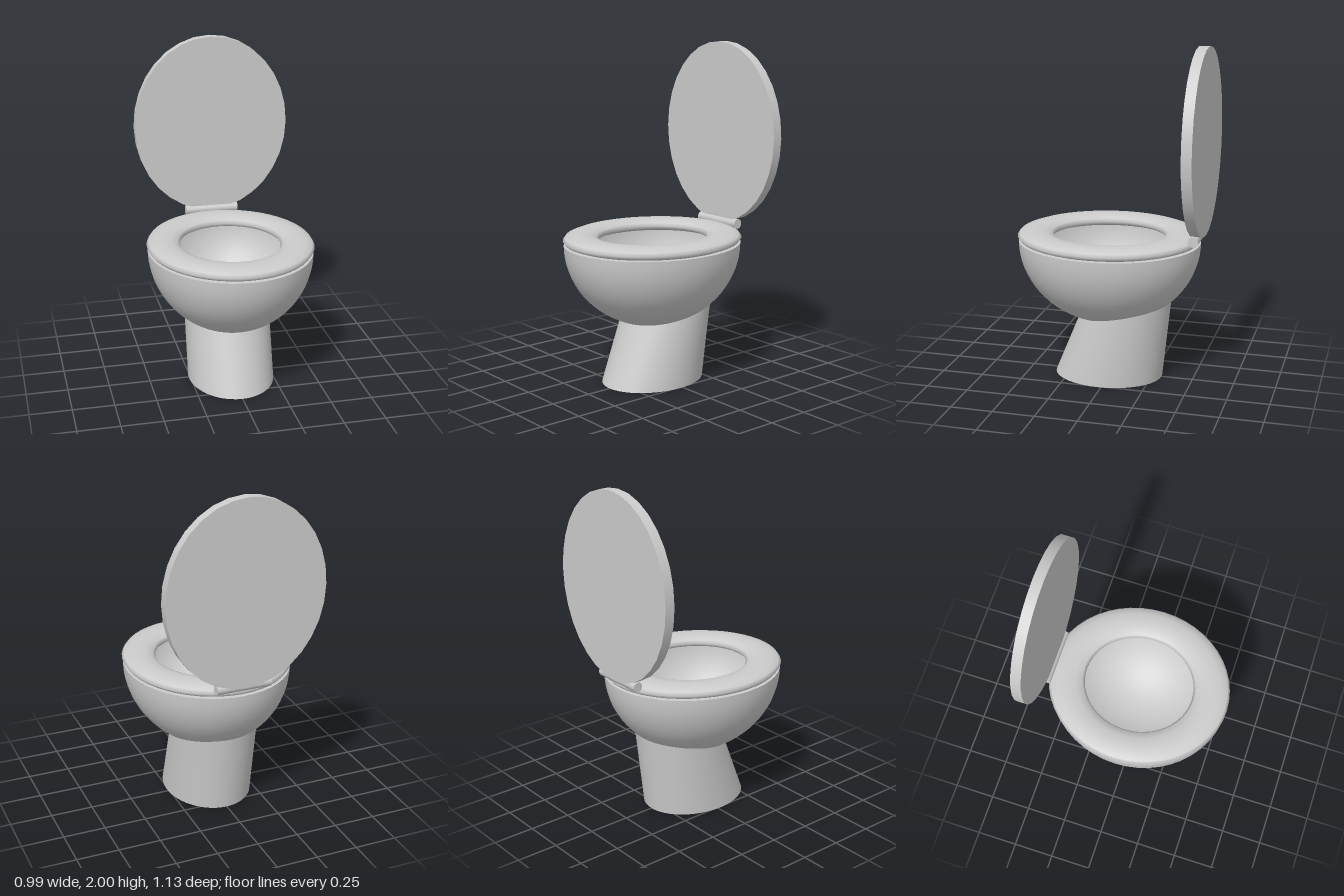
import * as THREE from 'three';
import { toCreasedNormals } from 'three/addons/utils/BufferGeometryUtils.js';

const CENTER_Z = 0.015; // centre of the bowl and seat
const RIM_Y = 0.838;
const BOWL = { x: 0.49, y: 0.495, z: 0.545 };

// Height of the bowl's outer skin at a point seen from above
function bowlSkinY(x, z) {
  const k = 1 - (x / BOWL.x) ** 2 - ((z - CENTER_Z) / BOWL.z) ** 2;
  return RIM_Y - BOWL.y * Math.sqrt(Math.max(k, 0));
}

// Half-ellipsoid shell: outer skin, flat rim, inner skin
function bowlGeometry() {
  const steps = 20, inner = 0.93, points = [];
  for (let i = 0; i <= steps; i++) {
    const a = (i / steps) * Math.PI / 2;
    points.push(new THREE.Vector2(Math.sin(a), -Math.cos(a)));
  }
  for (let i = steps; i >= 0; i--) points.push(points[i].clone().multiplyScalar(inner));
  const geo = new THREE.LatheGeometry(points, 48);
  geo.scale(BOWL.x, BOWL.y, BOWL.z);
  return toCreasedNormals(geo, 0.7);
}

// Leaning oval column whose top edge meets the bowl's skin
function pedestalGeometry() {
  const geo = new THREE.CylinderGeometry(1, 1, 1, 48, 1, true);
  const p = geo.attributes.position;
  for (let i = 0; i < p.count; i++) {
    const top = p.getY(i) > 0, c = p.getZ(i), x = p.getX(i) * 0.26;
    const zAt = (y) => {
      const front = 0.345 - 0.41 * y, back = -0.31 - 0.104 * y;
      return (front + back) / 2 + c * (front - back) / 2;
    };
    let y = top ? 0.42 : 0;
    if (top) for (let n = 0; n < 12; n++) y = bowlSkinY(x, zAt(y)) + 0.005;
    p.setXYZ(i, x, y, zAt(y));
  }
  return toCreasedNormals(geo, 0.6);
}

export function createModel() {
  const group = new THREE.Group();
  const material = new THREE.MeshStandardMaterial({ color: 0xcccccc });
  const add = (name, geo, x, y, z) => {
    const mesh = new THREE.Mesh(geo, material);
    mesh.name = name;
    mesh.position.set(x, y, z);
    group.add(mesh);
    return mesh;
  };

  add('bowl', bowlGeometry(), 0, RIM_Y, CENTER_Z);
  add('pedestal', pedestalGeometry(), 0, 0, 0);

  // Underside of the pedestal
  const base = new THREE.CircleGeometry(1, 48);
  base.rotateX(Math.PI / 2);
  base.scale(0.26, 1, 0.3275);
  add('pedestalBase', base, 0, 0, 0.0175);

  // Flattened oval ring
  const seat = new THREE.TorusGeometry(0.44, 0.11, 12, 48);
  seat.rotateX(Math.PI / 2);
  seat.scale(0.9, 0.35, 1);
  add('seat', seat, 0, 0.867, CENTER_Z);

  // Raised oval lid
  const lid = new THREE.CylinderGeometry(1, 1, 0.06, 32);
  lid.rotateX(Math.PI / 2);
  lid.scale(0.475, 0.548, 1);
  add('lid', lid, 0, 1.452, -0.535);

  const hinge = new THREE.CylinderGeometry(0.03, 0.03, 0.33, 20);
  hinge.rotateZ(Math.PI / 2);
  add('hinge', hinge, 0, 0.902, -0.52);

  return group;
}
